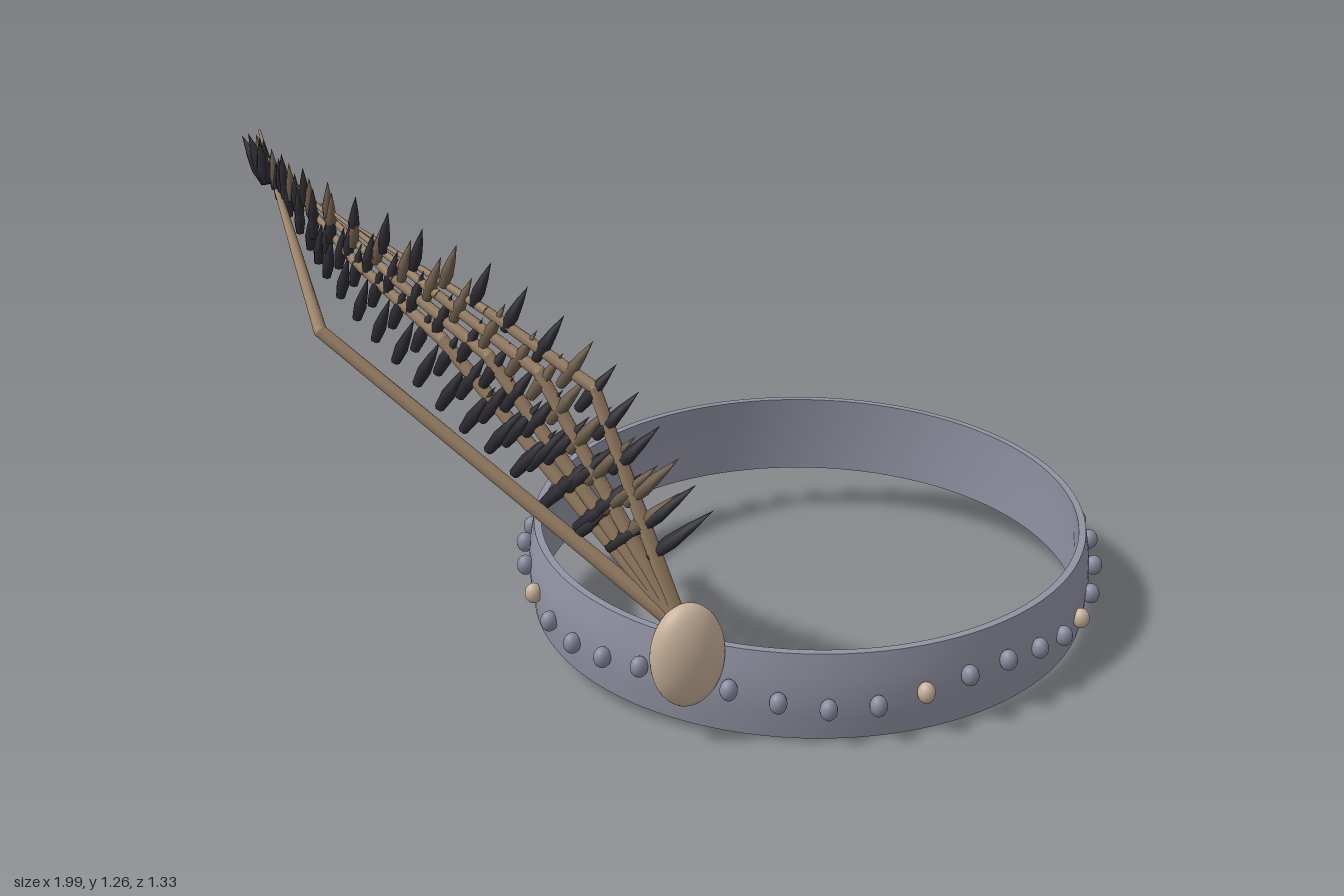
import * as THREE from 'three';

const mat = (name, color, opts = {}) => {
  const m = new THREE.MeshStandardMaterial({ color, ...opts });
  m.name = name;
  return m;
};
const steel = mat('steel', 0x9092a2);
const beadSteel = mat('beadSteel', 0x868a9c);
const ivory = mat('ivory', 0xc6b09a);
const bone = mat('bone', 0xa0866a);
const charcoal = mat('charcoal', 0x2d2b31);
const brown = mat('brown', 0x6e5d4b);

const UP = new THREE.Vector3(0, 1, 0);
const CX = 0.265; // centre of the band

// Band rises towards the back
const lift = (z) => 0.17 - 0.1 * z;

// The wing is a thin curved sheet: x follows from z
const sheet = (z, y) => {
  const u = 0.47 - z;
  return new THREE.Vector3(-0.24 - 1.64 * u + 0.88 * u * u, y, z);
};
const curve = (pts) => new THREE.CatmullRomCurve3(pts.map(([z, y]) => sheet(z, y)));

function add(group, name, geometry, material) {
  const mesh = new THREE.Mesh(geometry, material);
  mesh.name = name;
  group.add(mesh);
  return mesh;
}

// Places a unit-height piece so that it runs from a to b
function span(mesh, a, b) {
  const d = b.clone().sub(a);
  mesh.position.copy(a);
  mesh.scale.y = d.length();
  mesh.quaternion.setFromUnitVectors(UP, d.normalize());
}

function rod(group, name, a, b, r0, r1) {
  const geo = new THREE.CylinderGeometry(r1, r0, 1, 8);
  geo.translate(0, 0.5, 0);
  span(add(group, name, geo, bone), a, b);
}

function makeBand() {
  const group = new THREE.Group();
  group.name = 'band';
  const v = (x, y) => new THREE.Vector2(x, y);
  const faces = {
    outerFace: [v(0.69, -0.103), v(0.697, -0.05), v(0.7, 0), v(0.695, 0.05), v(0.685, 0.103)],
    topRim: [v(0.685, 0.103), v(0.667, 0.103)],
    innerFace: [v(0.667, 0.103), v(0.673, 0), v(0.672, -0.103)],
    bottomRim: [v(0.672, -0.103), v(0.69, -0.103)],
  };
  for (const [name, pts] of Object.entries(faces)) {
    const geo = new THREE.LatheGeometry(pts, 96);
    geo.scale(1, 1, 0.905);
    const p = geo.attributes.position;
    for (let i = 0; i < p.count; i++) p.setY(i, p.getY(i) + lift(p.getZ(i)));
    geo.translate(CX, 0, 0);
    add(group, name, geo, steel);
  }
  return group;
}

// Forty beads in a gentle wave, every fifth one ivory
function makeBeads() {
  const group = new THREE.Group();
  group.name = 'beads';
  const geo = new THREE.SphereGeometry(1, 16, 12);
  for (let i = 0; i < 40; i++) {
    const a = (i / 40) * Math.PI * 2;
    const z = 0.643 * Math.cos(a);
    const bead = add(group, 'bead', geo, i % 5 ? beadSteel : ivory);
    bead.position.set(CX + 0.71 * Math.sin(a), lift(z) + 0.02 * Math.sin(6 * a), z);
    bead.scale.set(0.02, 0.025, 0.021);
    bead.rotation.y = a;
  }
  return group;
}

function makeWing() {
  const group = new THREE.Group();
  group.name = 'wing';
  const root = new THREE.Vector3(-0.24, 0.27, 0.47);
  const upper = curve([[0.43, 0.43], [0.4, 0.56], [0.36, 0.72], [0.31, 0.83], [0.22, 0.95],
    [0.12, 1.02], [0, 1.08], [-0.12, 1.13], [-0.24, 1.18]]);
  const lower = curve([[0.33, 0.45], [0.25, 0.6], [0.17, 0.69], [0.09, 0.79], [0.01, 0.88],
    [-0.06, 0.97], [-0.1, 1.03], [-0.16, 1.1], [-0.22, 1.17]]);

  // Fan of jointed struts; the leading one bows out of the sheet
  const struts = 5;
  for (let j = 0; j < struts; j++) {
    const t = j / (struts - 1);
    const elbow = sheet(0.37 - 0.28 * t, 0.81 + 0.095 * t);
    if (j === struts - 1) elbow.x = -0.905;
    const tip = sheet(0.02 - 0.315 * t, 1.1 + 0.155 * t);
    if (j === struts - 1) tip.x = -0.95;
    const mid = elbow.clone().lerp(tip, 0.4);
    if (j < struts - 1) mid.copy(sheet(mid.z, mid.y + 0.03 * (1 - t)));
    rod(group, 'strut', root, elbow, 0.018, 0.014);
    add(group, 'strutJoint', new THREE.SphereGeometry(0.0145, 8, 6), bone).position.copy(elbow);
    rod(group, 'strutOuter', elbow, mid, 0.014, 0.011);
    rod(group, 'strutTip', mid, tip, 0.011, 0.003);
  }

  // Rows of pointed quills leaning off the sheet towards the top edge
  const quill = new THREE.LatheGeometry(
    [[0, 0], [0.012, 0.04], [0.017, 0.35], [0.011, 0.65], [0, 1]].map(([x, y]) => new THREE.Vector2(x, y)), 6);
  const rows = 5, perRow = 18;
  for (let r = 0; r < rows; r++) {
    for (let i = 0; i < perRow; i++) {
      const s = (i + (r % 2) * 0.5) / (perRow - 0.5);
      const a = upper.getPoint(s).lerp(lower.getPoint(s), r / (rows - 1));
      const p = sheet(a.z, a.y);
      const size = 1 - 0.35 * s;
      const tip = sheet(p.z + 0.075 * (1 - s) - 0.01 * s, p.y + 0.125 * size);
      const mesh = add(group, 'quill', quill, r === 1 || (r === 0 && i % 4 === 2) ? brown : charcoal);
      span(mesh, p, tip);
      mesh.scale.x = mesh.scale.z = size;
    }
  }
  // Closing quills at the wing tip
  for (const [z, y] of [[-0.28, 1.25], [-0.25, 1.26], [-0.21, 1.25]]) {
    const end = sheet(z, y);
    end.x = Math.max(end.x - 0.015, -0.995);
    span(add(group, 'tipQuill', quill, charcoal), sheet(-0.22, 1.15), end);
  }
  return group;
}

export function createModel() {
  const model = new THREE.Group();
  model.name = 'wingedCirclet';
  model.add(makeBand(), makeBeads(), makeWing());

  // Oval boss holding the wing to the band
  const boss = add(model, 'boss', new THREE.SphereGeometry(1, 32, 20), ivory);
  boss.position.set(-0.233, 0.213, 0.483);
  boss.scale.set(0.085, 0.123, 0.052);
  return model;
}
